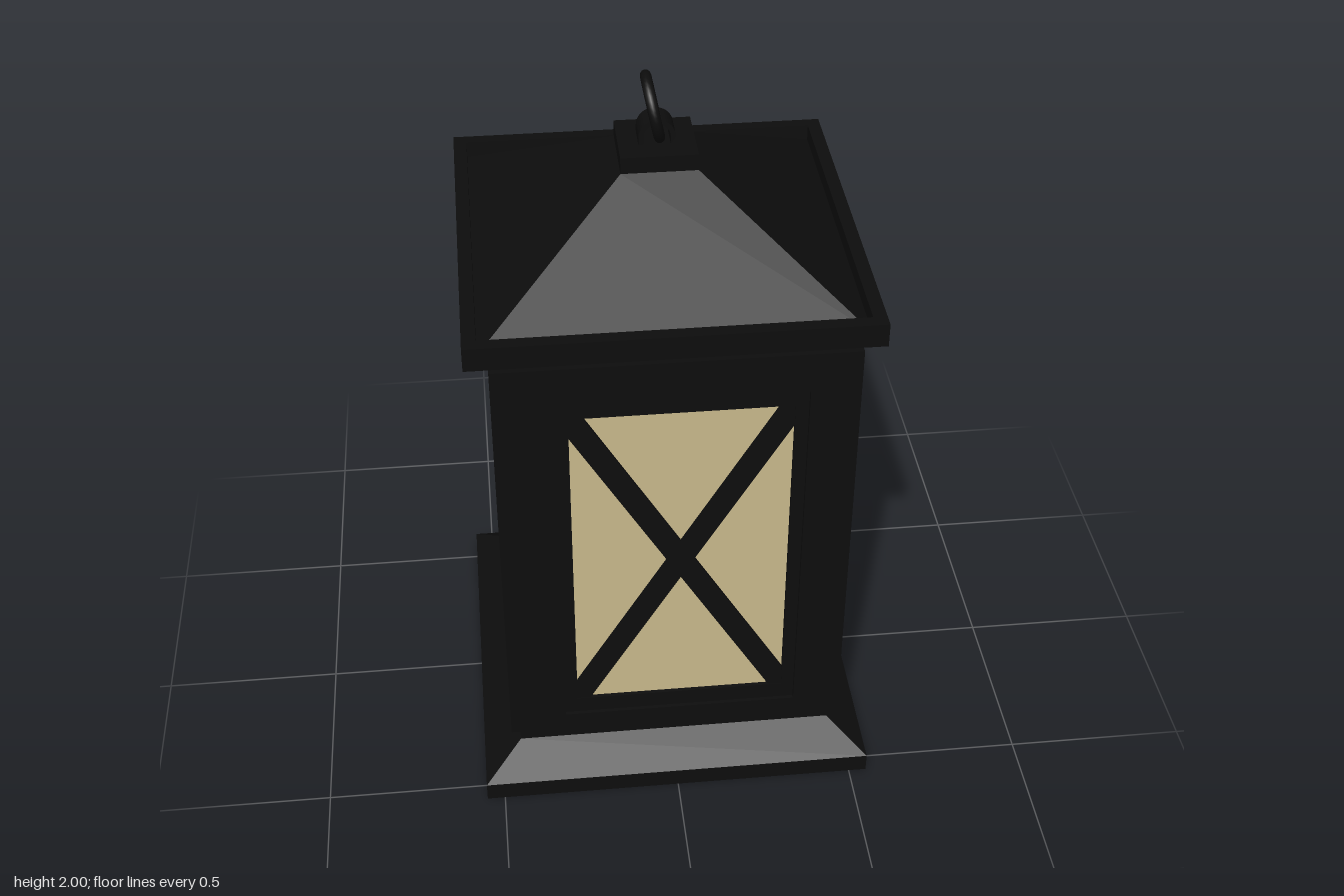
import * as THREE from 'three';

const blackMetal = new THREE.MeshStandardMaterial({ color: 0x0d0d0d });
blackMetal.name = 'black metal';
const warmGlass = new THREE.MeshStandardMaterial({ color: 0xc9b98c });
warmGlass.name = 'warm glass';

function part(name, geometry, material, parent) {
  const mesh = new THREE.Mesh(geometry, material);
  mesh.name = name;
  parent.add(mesh);
  return mesh;
}

// Square solid from a profile of [half width, height], bottom to top
function squareLathe(profile) {
  const points = profile.map(([r, y]) => new THREE.Vector2(r * Math.SQRT2, y));
  const geometry = new THREE.LatheGeometry(points, 4).rotateY(Math.PI / 4).toNonIndexed();
  geometry.computeVertexNormals();
  return geometry;
}

function rectangle(Type, x0, x1, y0, y1) {
  return new Type([[x0, y0], [x1, y0], [x1, y1], [x0, y1]].map(([x, y]) => new THREE.Vector2(x, y)));
}

// Flat rectangular frame with a rectangular opening
function frame(outer, inner, depth) {
  const shape = rectangle(THREE.Shape, ...outer);
  shape.holes.push(rectangle(THREE.Path, ...inner));
  return new THREE.ExtrudeGeometry(shape, { depth, bevelEnabled: false });
}

const CORE = 0.445, WALL = 0.47;
const SILL = 0.285, HEAD = 1.28, TRIM = 0.05;

// One side wall, facing +z: outer frame, inset trim, glass and crossed bars
function createSide(name, centre, half) {
  const side = new THREE.Group();
  side.name = name;
  const x0 = centre - half, x1 = centre + half;
  const opening = [x0 - TRIM + 0.015, x1 + TRIM - 0.015, SILL - TRIM, HEAD + TRIM];

  part('wallFrame', frame([-WALL, WALL, 0.18, 1.445], opening, WALL - CORE), blackMetal, side)
    .position.z = CORE;
  part('windowTrim', frame(opening, [x0, x1, SILL, HEAD], 0.014), blackMetal, side)
    .position.z = CORE;
  part('glassPane', new THREE.BoxGeometry(2 * half + 0.01, HEAD - SILL + 0.01, 0.006), warmGlass, side)
    .position.set(centre, (SILL + HEAD) / 2, CORE);

  const halfHeight = (HEAD - SILL) / 2;
  for (const s of [-1, 1]) {
    const bar = part('crossBar', new THREE.BoxGeometry(2 * Math.hypot(half, halfHeight), 0.064, 0.012), blackMetal, side);
    bar.position.set(centre, (SILL + HEAD) / 2, CORE + 0.006);
    bar.rotation.z = s * Math.atan2(halfHeight, half);
  }
  return side;
}

export function createModel() {
  const lantern = new THREE.Group();
  lantern.name = 'lantern';

  // Sloped foot running up into the inner core
  part('baseAndCore', squareLathe([[0, 0], [0.55, 0], [0.55, 0.055], [CORE, 0.125], [CORE, 1.5]]), blackMetal, lantern);

  // Four window walls
  ['frontSide', 'leftSide', 'backSide', 'rightSide'].forEach((name, i) => {
    const side = i === 0 ? createSide(name, 0.013, 0.291) : createSide(name, 0, 0.305);
    side.rotation.y = i * Math.PI / 2;
    lantern.add(side);
  });

  // Roof with raised rim, pyramid slope and square cap
  const top = new THREE.Group();
  top.name = 'roofAssembly';
  top.position.set(-0.007, 0, -0.007);
  lantern.add(top);
  part('roof', squareLathe([
    [0, 1.49], [0.524, 1.49], [0.524, 1.555], [0.488, 1.555], [0.488, 1.51],
    [0.1, 1.77], [0.1, 1.815], [0, 1.815],
  ]), blackMetal, top);

  // Arched bracket that holds the ring
  const arch = new THREE.Shape();
  arch.moveTo(0.048, 1.81);
  arch.absarc(0, 1.835, 0.048, 0, Math.PI, false);
  arch.lineTo(-0.048, 1.81);
  arch.lineTo(-0.035, 1.81);
  arch.absarc(0, 1.835, 0.035, Math.PI, 0, true);
  arch.lineTo(0.035, 1.81);
  part('ringBracket', new THREE.ExtrudeGeometry(arch, { depth: 0.07, bevelEnabled: false, curveSegments: 12 }), blackMetal, top)
    .position.z = -0.035;

  // Leaning carrying ring
  const ring = part('ring', new THREE.TorusGeometry(0.08, 0.0145, 12, 40).rotateY(Math.PI / 2), blackMetal, top);
  ring.position.set(-0.008, 1.904, 0);
  ring.rotation.z = 0.2;

  return lantern;
}
